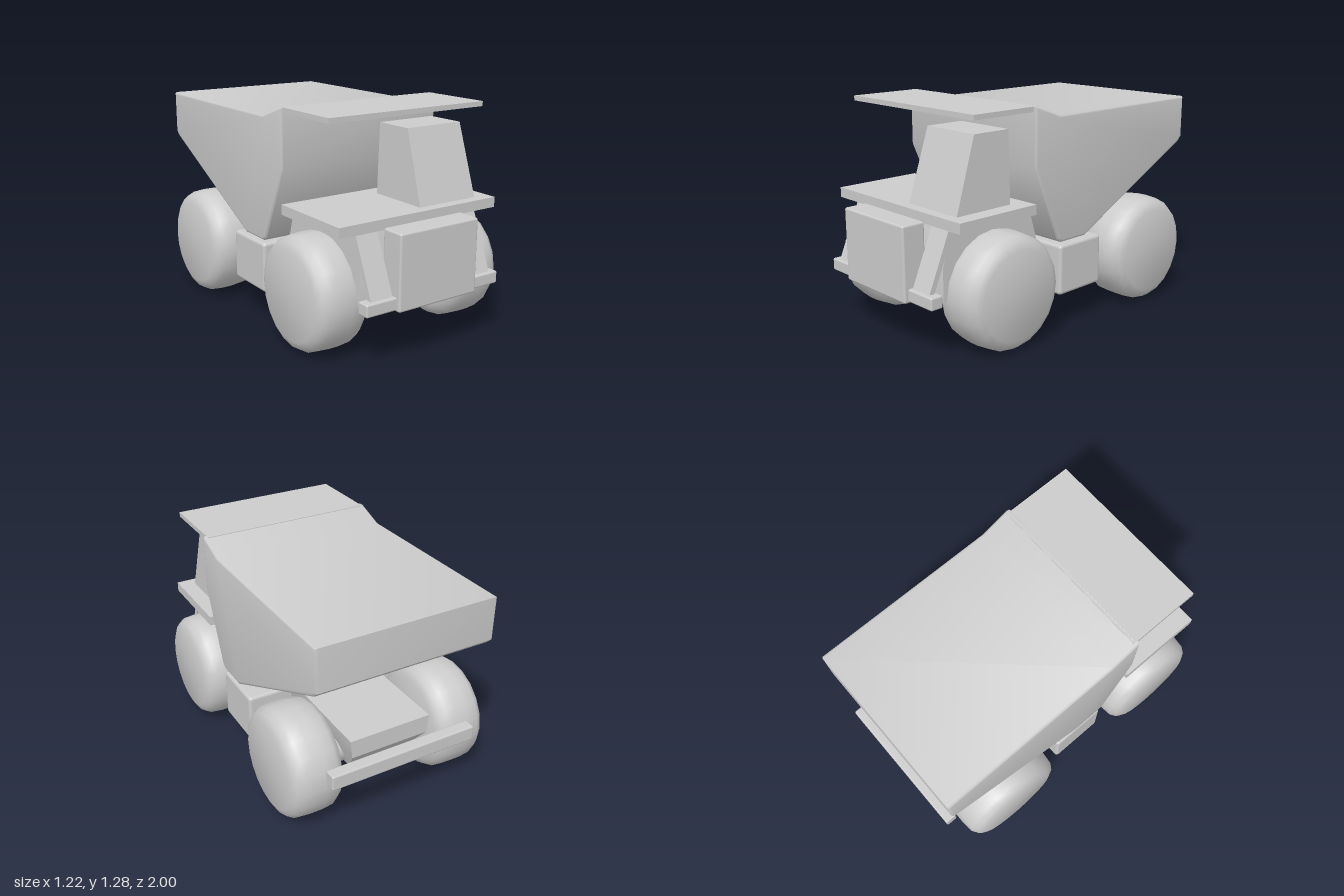
import * as THREE from 'three';
import { toCreasedNormals } from 'three/addons/utils/BufferGeometryUtils.js';
import { RoundedBoxGeometry } from 'three/addons/geometries/RoundedBoxGeometry.js';

export function createModel() {
  const model = new THREE.Group();
  const material = new THREE.MeshStandardMaterial({ color: 0xcccccc });

  function add(name, geometry, x = 0, y = 0, z = 0) {
    const mesh = new THREE.Mesh(geometry, material);
    mesh.name = name;
    mesh.position.set(x, y, z);
    model.add(mesh);
    return mesh;
  }

  // Box given by its limits on each axis, optionally with rounded edges
  function block(name, [x0, x1], [y0, y1], [z0, z1], radius = 0) {
    const size = [x1 - x0, y1 - y0, z1 - z0];
    const geometry = radius
      ? new RoundedBoxGeometry(...size, 2, radius)
      : new THREE.BoxGeometry(...size);
    return add(name, geometry, (x0 + x1) / 2, (y0 + y1) / 2, (z0 + z1) / 2);
  }

  // Side profile of [z, y] points, extruded to a total width along x
  function profile(name, points, width, bevel = 0) {
    const shape = new THREE.Shape(points.map(([z, y]) => new THREE.Vector2(z, y)));
    const geometry = new THREE.ExtrudeGeometry(shape, {
      depth: width - 2 * bevel,
      bevelEnabled: bevel > 0,
      bevelThickness: bevel,
      bevelSize: bevel,
      bevelOffset: -bevel,
      bevelSegments: 3,
    });
    geometry.translate(0, 0, bevel - width / 2);
    geometry.rotateY(-Math.PI / 2);
    return add(name, toCreasedNormals(geometry, 0.6));
  }

  // Dump body with its raised front lip and the canopy over the cab
  profile('dumpBody', [
    [0.33, 0.95], [0.33, 1.28], [0.31, 1.28], [0.14, 1.22], [-0.97, 1.22],
    [-0.97, 0.97], [-0.94, 0.94], [-0.07, 0.51], [0.12, 0.51], [0.15, 0.53],
  ], 1.06, 0.015);
  block('canopy', [-0.51, 0.51], [1.252, 1.28], [0.3, 0.74]);

  // Front body, deck and grille
  profile('frontBody', [
    [0.8, 0.71], [0.25, 0.71], [0.18, 0.48], [0.17, 0.32], [0.86, 0.32], [0.86, 0.5],
  ], 0.8);
  block('deck', [-0.525, 0.525], [0.705, 0.762], [0.32, 0.85]);
  block('grille', [-0.26, 0.26], [0.308, 0.722], [0.86, 1.0], 0.012);

  // Cab: a box tapered towards the top
  const cab = new THREE.BoxGeometry(0.39, 0.405, 0.37);
  const p = cab.attributes.position;
  for (let i = 0; i < p.count; i++) {
    if (p.getY(i) > 0) {
      p.setX(i, p.getX(i) * 0.95);
      p.setZ(i, p.getZ(i) > 0 ? 0.055 : -0.18);
    }
  }
  cab.computeVertexNormals();
  add('cab', cab, 0.235, 0.962, 0.605);

  // Chassis: a trough-shaped beam, narrower at the bottom
  const chassis = profile('chassis', [
    [0.25, 0.51], [-0.85, 0.51], [-0.85, 0.4], [-0.72, 0.23],
    [-0.5, 0.21], [-0.2, 0.26], [0.25, 0.34],
  ], 0.5);
  const c = chassis.geometry.attributes.position;
  for (let i = 0; i < c.count; i++) {
    const t = Math.min(1, (0.51 - c.getY(i)) / 0.3);
    c.setX(i, c.getX(i) * (1 - 0.36 * t * t));
  }
  chassis.geometry = toCreasedNormals(chassis.geometry, 0.6);

  block('frontBumper', [-0.445, 0.445], [0.315, 0.385], [0.9, 0.975], 0.01);
  block('rearBumper', [-0.445, 0.445], [0.37, 0.46], [-1.0, -0.93], 0.01);

  // Tyre section revolved around the axle
  const tyre = [
    [0, -0.155], [0.25, -0.155], [0.29, -0.135], [0.313, -0.1], [0.32, -0.03],
    [0.32, 0.03], [0.313, 0.1], [0.29, 0.135], [0.25, 0.155], [0, 0.155],
  ].map(([r, h]) => new THREE.Vector2(r, h));
  const wheelGeometry = toCreasedNormals(new THREE.LatheGeometry(tyre, 20), 0.65);
  wheelGeometry.rotateZ(Math.PI / 2);

  for (const [end, z] of [['front', 0.52], ['rear', -0.6]]) {
    const axle = new THREE.CylinderGeometry(0.11, 0.11, 0.7, 16);
    axle.rotateZ(Math.PI / 2);
    add(end + 'Axle', axle, 0, 0.325, z);
    for (const side of [-1, 1]) add(end + 'Wheel', wheelGeometry, side * 0.455, 0.324, z);
  }

  // Side tanks and slanted steps, mirrored
  for (const side of [-1, 1]) {
    const span = (a, b) => (side > 0 ? [a, b] : [-b, -a]);
    block('sideTank', span(0.245, 0.53), [0.197, 0.49], [-0.21, 0.13], 0.02);
    const steps = add('steps', new THREE.BoxGeometry(0.135, 0.38, 0.03), side * 0.335, 0.54, 0.87);
    steps.rotation.x = -0.4;
  }

  return model;
}
